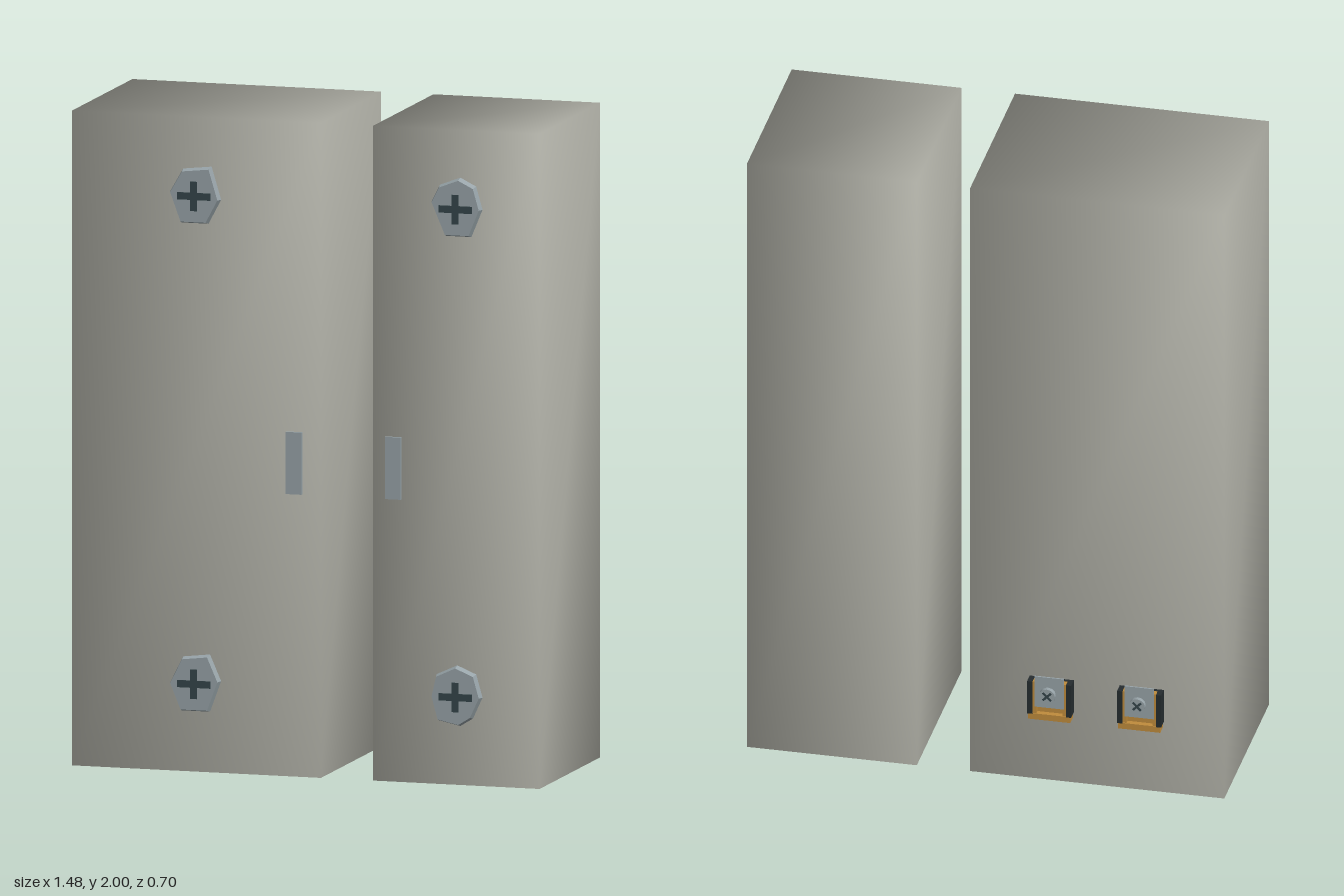
import * as THREE from 'three';
import { mergeVertices } from 'three/addons/utils/BufferGeometryUtils.js';

const mat = (name, color) => Object.assign(new THREE.MeshStandardMaterial({ color }), { name });

export function createModel() {
  const casing = mat('casing grey', 0xbcbcb2);
  const steel = mat('steel', 0x98a4a9);
  const slot = mat('dark slot', 0x35454a);
  const black = mat('black plastic', 0x252c2f);
  const brass = mat('brass', 0xc08c3c);

  const model = new THREE.Group();
  model.name = 'doorContactSensor';

  const add = (parent, name, geometry, material, x = 0, y = 0, z = 0) => {
    const mesh = new THREE.Mesh(geometry, material);
    mesh.name = name;
    mesh.position.set(x, y, z);
    parent.add(mesh);
    return mesh;
  };
  const box = (w, h, d) => new THREE.BoxGeometry(w, h, d);
  const group = (name, x, y, z) => {
    const g = new THREE.Group();
    g.name = name;
    g.position.set(x, y, z);
    model.add(g);
    return g;
  };

  // Casings: boxes with shared corners, so shading rolls over the edges
  const softBox = (w, h, d) => {
    const g = box(w, h, d);
    g.deleteAttribute('normal');
    g.deleteAttribute('uv');
    const merged = mergeVertices(g);
    merged.computeVertexNormals();
    return merged;
  };
  const back = -0.285, front = 0.325;
  const body = (name, x0, x1) =>
    add(model, name, softBox(x1 - x0, 2, front - back), casing, (x0 + x1) / 2, 1, (front + back) / 2);
  body('switchCasing', -0.74, 0.045);
  body('magnetCasing', 0.21, 0.735);

  // Mounting screws: low, uneven faceted heads with a dark cross slot
  const mountingScrew = (x, y, outline) => {
    const g = group('mountingScrew', x, y, front);
    const shape = new THREE.Shape(outline.map(([px, py]) => new THREE.Vector2(px, py)));
    const head = new THREE.ExtrudeGeometry(shape, { depth: 0.021, bevelEnabled: false });
    const p = head.attributes.position;
    for (let i = 0; i < p.count; i++) {
      if (p.getZ(i) > 0.01) p.setXY(i, p.getX(i) * 0.93, p.getY(i) * 0.93);
    }
    head.computeVertexNormals();
    add(g, 'screwHead', head, steel);
    add(g, 'slotAcross', box(0.105, 0.022, 0.004), slot, 0, 0, 0.021);
    add(g, 'slotUpright', box(0.022, 0.09, 0.004), slot, 0, 0, 0.0212);
  };
  mountingScrew(-0.35, 1.76, [[-0.08, 0.01], [-0.04, 0.08], [0.05, 0.09], [0.08, -0.01], [0.04, -0.085], [-0.045, -0.085]]);
  mountingScrew(-0.35, 0.27, [[-0.08, 0], [-0.04, 0.08], [0.045, 0.09], [0.08, 0.01], [0.045, -0.085], [-0.045, -0.085]]);
  mountingScrew(0.475, 1.76, [[-0.08, 0.02], [-0.055, 0.07], [0.01, 0.095], [0.06, 0.07], [0.08, 0], [0.045, -0.085], [-0.035, -0.085]]);
  mountingScrew(0.475, 0.27, [[-0.08, 0], [-0.065, 0.065], [0, 0.095], [0.06, 0.07], [0.08, 0], [0.05, -0.065], [0.01, -0.09], [-0.06, -0.075]]);

  // Alignment marks either side of the gap
  for (const x of [-0.035, 0.278]) add(model, 'alignmentMark', box(0.05, 0.19, 0.009), steel, x, 0.96, 0.341);

  // Rear wire terminals
  for (const x of [-0.485, -0.207]) {
    const g = group('terminal', x, 0.295, back);
    add(g, 'base', box(0.136, 0.11, 0.01), black, 0, 0, -0.005);
    for (const s of [-1, 1]) {
      add(g, 'sideWall', box(0.016, 0.11, 0.037), black, s * 0.06, 0, -0.0185);
      add(g, 'brassCheek', box(0.012, 0.115, 0.032), brass, s * 0.046, -0.004, -0.016);
    }
    add(g, 'brassPlate', box(0.1, 0.11, 0.008), brass, 0, -0.004, -0.014);
    add(g, 'brassLip', box(0.13, 0.02, 0.035), brass, 0, -0.064, -0.0175);
    add(g, 'clampWasher', box(0.09, 0.085, 0.005), steel, 0, 0.012, -0.032);
    add(g, 'clampTab', box(0.09, 0.022, 0.005), steel, 0, 0.064, -0.036);
    const rod = (name, r, len, z) =>
      add(g, name, new THREE.CylinderGeometry(r, r, len, 12), steel, 0, 0.025, z).rotation.x = Math.PI / 2;
    rod('screwShaft', 0.012, 0.05, -0.03);
    rod('screwHead', 0.025, 0.014, -0.06);
    for (const a of [Math.PI / 4, -Math.PI / 4])
      add(g, 'screwSlot', box(0.036, 0.007, 0.003), slot, 0, 0.025, -0.0665).rotation.z = a;
  }
  return model;
}
